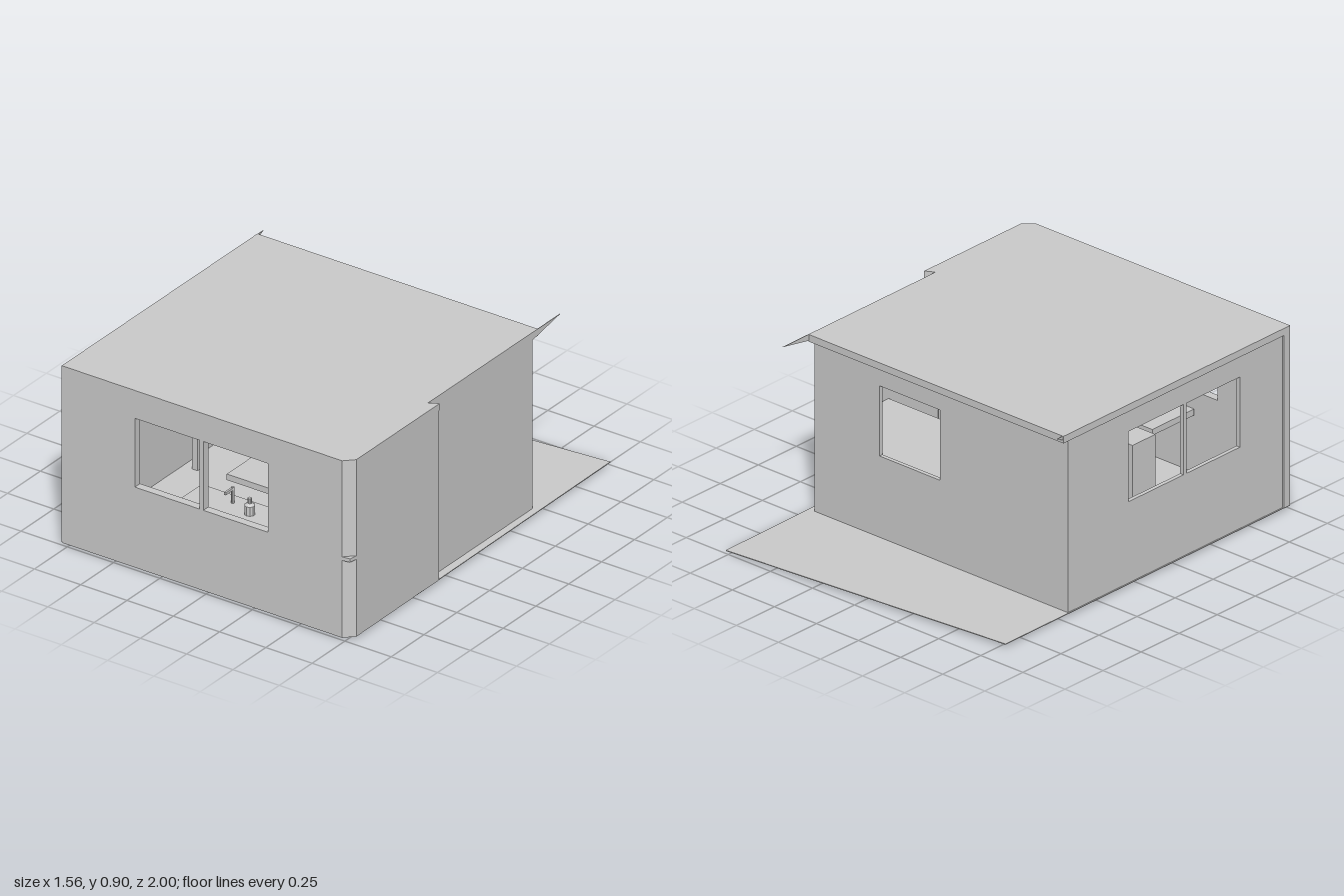
import * as THREE from 'three';

export function createModel() {
  const room = new THREE.Group();
  room.name = 'room';
  const grey = new THREE.MeshStandardMaterial({ color: 0xcccccc, flatShading: true, side: THREE.DoubleSide });

  const add = (name, geometry, parent = room) => {
    const mesh = new THREE.Mesh(geometry, grey);
    mesh.name = name;
    parent.add(mesh);
    return mesh;
  };
  // Box given by its lower and upper limits on each axis
  const box = (name, x0, x1, y0, y1, z0, z1, parent) => {
    const g = new THREE.BoxGeometry(x1 - x0, y1 - y0, z1 - z0);
    g.translate((x0 + x1) / 2, (y0 + y1) / 2, (z0 + z1) / 2);
    return add(name, g, parent);
  };
  const polygon = (pts) => new THREE.Shape(pts.map(([x, y]) => new THREE.Vector2(x, y)));
  const rect = (a, b, c, d) => [[a, c], [b, c], [b, d], [a, d]];
  const extrude = (shape, depth) => new THREE.ExtrudeGeometry(shape, { depth, bevelEnabled: false });
  // Upright panel with window openings
  const panel = (a, b, low, high, windows, depth) => {
    const shape = polygon(rect(a, b, low, high));
    for (const [u0, u1] of windows) shape.holes.push(polygon(rect(u0, u1, 0.415, 0.76)));
    return extrude(shape, depth);
  };
  // Horizontal slab from x, z corners
  const slab = (name, pts, y, depth) =>
    add(name, extrude(polygon(pts.map(([x, z]) => [x, -z])), depth).rotateX(-Math.PI / 2).translate(0, y, 0));

  // Floor sheet running out behind the room, and the roof with its back eave
  slab('floor', [[-0.775, 1], [0.735, 1], [0.78, 0.955], [0.765, -1], [-0.775, -0.865]], 0.012, 0.004);
  slab('roof', [[-0.78, 1], [0.735, 1], [0.78, 0.955], [0.78, 0.32], [0.735, 0.345],
    [0.735, -0.49], [-0.78, -0.49]], 0.865, 0.035);

  // Walls
  add('frontWall', panel(-0.78, 0.735, 0.016, 0.865, [[-0.385, -0.035], [-0.015, 0.335]], 0.04).translate(0, 0, 0.96));
  add('backWall', panel(-0.765, 0.735, 0.016, 0.865, [[-0.01, 0.35]], 0.02).translate(0, 0, -0.45));
  add('rightSideWall', panel(-0.96, 0.45, 0.016, 0.865, [[-0.68, -0.33], [-0.31, 0.05]], 0.02)
    .rotateY(Math.PI / 2).translate(-0.77, 0, 0));
  box('leftRearWall', 0.715, 0.735, 0.016, 0.865, -0.45, 0.34);
  box('leftFrontWall', 0.74, 0.78, 0.016, 0.865, 0.325, 0.955);
  slab('leftWallStep', [[0.715, 0.345], [0.78, 0.325], [0.78, 0.345]], 0.016, 0.849);

  // Slanted corner strip with its ledge
  slab('cornerPost', [[0.735, 1], [0.78, 0.955], [0.74, 0.955], [0.72, 0.97]], 0.016, 0.849);
  slab('cornerLedge', [[0.735, 1], [0.775, 0.995], [0.78, 0.955], [0.74, 0.96]], 0.4, 0.018);

  // Thin upright wedges at the two ends of the eave
  for (const [x, tip] of [[0.733, -0.66], [-0.778, -0.53]]) {
    const wedge = polygon([[0.45, 0.862], [-tip, 0.9], [0.45, 0.9]]);
    add('eaveWedge', extrude(wedge, 0.003).rotateY(Math.PI / 2).translate(x, 0, 0));
  }

  // Table by the back window
  const table = new THREE.Group();
  table.name = 'table';
  room.add(table);
  box('tableTop', -0.12, 0.71, 0.385, 0.41, -0.425, 0.01, table);
  for (const x of [-0.09, 0.69])
    for (const z of [-0.02, -0.405]) box('tableLeg', x - 0.02, x + 0.02, 0.003, 0.385, z - 0.02, z + 0.02, table);

  // Small stool near the front corner
  const stool = new THREE.Group();
  stool.name = 'stool';
  room.add(stool);
  box('stoolSeat', 0.39, 0.67, 0.2, 0.225, 0.8, 0.945, stool);
  for (const x of [0.41, 0.64])
    for (const z of [0.82, 0.93]) box('stoolLeg', x - 0.015, x + 0.015, 0.005, 0.2, z - 0.015, z + 0.015, stool);

  // Chair on a bent tube runner
  const chair = new THREE.Group();
  chair.name = 'chair';
  room.add(chair);
  const path = [[0.01, 0.22, 0.4], [0.01, 0.01, 0.4], [-0.38, 0.01, 0.4], [-0.44, 0.01, 0.3],
    [-0.38, 0.01, 0.21], [-0.2, 0.01, 0.21], [-0.18, 0.22, 0.21]].map((p) => new THREE.Vector3(...p));
  add('chairRunner', new THREE.TubeGeometry(new THREE.CatmullRomCurve3(path, false, 'catmullrom', 0.1), 40, 0.008, 6), chair);
  box('chairSeat', -0.3, 0.02, 0.22, 0.25, 0.19, 0.42, chair);

  // Slatted cabinet beside the side window
  const cabinet = new THREE.Group();
  cabinet.name = 'cabinet';
  room.add(cabinet);
  box('cabinetBody', -0.72, -0.16, 0.3, 0.645, 0.03, 0.18, cabinet);
  for (const [low, high] of [[0.36, 0.445], [0.47, 0.54], [0.56, 0.625]])
    box('cabinetDrawer', -0.7, -0.2, low, high, 0.18, 0.19, cabinet);
  for (const x of [-0.7, -0.2]) box('cabinetLeg', x, x + 0.03, 0.016, 0.3, 0.09, 0.12, cabinet);

  // Counter under the front window with tap and bottle
  const counter = new THREE.Group();
  counter.name = 'counter';
  room.add(counter);
  box('counterTop', -0.25, 0.3, 0.3, 0.33, 0.68, 0.955, counter);
  add('tap', new THREE.CylinderGeometry(0.008, 0.008, 0.08, 8).translate(-0.04, 0.37, 0.74), counter);
  box('tapSpout', -0.045, -0.035, 0.395, 0.408, 0.74, 0.8, counter);
  const bottle = [[0, 0], [0.025, 0], [0.025, 0.045], [0.01, 0.055], [0.01, 0.08], [0, 0.08]]
    .map(([r, y]) => new THREE.Vector2(r, y));
  add('bottle', new THREE.LatheGeometry(bottle, 10).translate(0.08, 0.33, 0.78), counter);

  return room;
}
